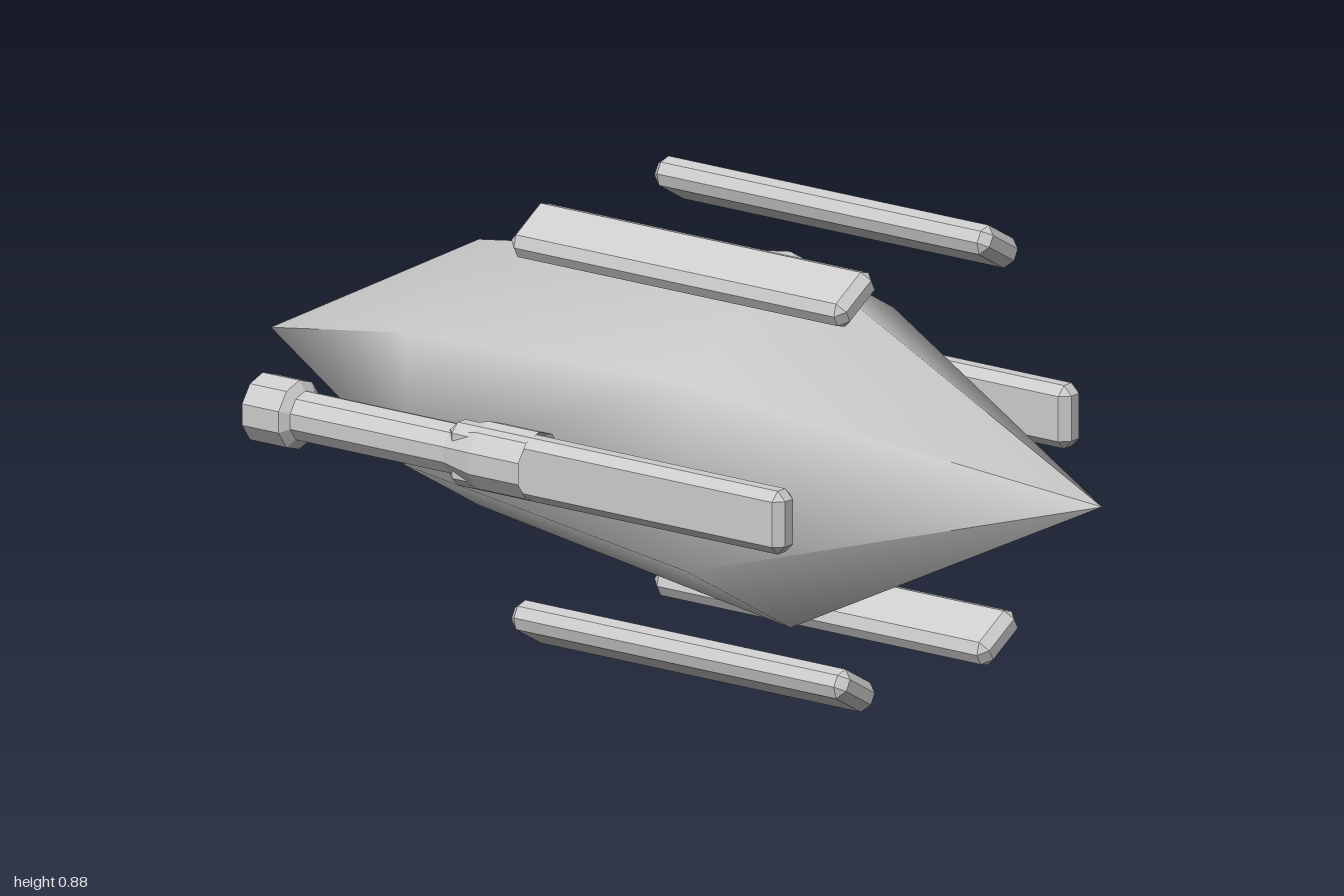
import * as THREE from 'three';
import { ConvexGeometry } from 'three/addons/geometries/ConvexGeometry.js';

const CENTRE_Y = 0.44;

// Revolve [radius, z] pairs around the z axis, listed from back to front
function latheZ(profile, sides) {
  const points = profile.map(([r, z]) => new THREE.Vector2(r, z));
  return new THREE.LatheGeometry(points, sides).rotateX(Math.PI / 2);
}

// Box with every edge chamfered, given half sizes
function chamferedBox(a, b, l, c) {
  const points = [];
  for (const x of [-1, 1]) for (const y of [-1, 1]) for (const z of [-1, 1]) {
    points.push(
      new THREE.Vector3(x * a, y * (b - c), z * (l - c)),
      new THREE.Vector3(x * (a - c), y * b, z * (l - c)),
      new THREE.Vector3(x * (a - c), y * (b - c), z * l)
    );
  }
  return new ConvexGeometry(points);
}

// Separate the faces so each one is shaded flat
function flat(geometry) {
  const g = geometry.index ? geometry.toNonIndexed() : geometry;
  g.computeVertexNormals();
  return g;
}

export function createModel() {
  const model = new THREE.Group();
  model.name = 'spacecraft';
  const grey = new THREE.MeshStandardMaterial({ color: 0xcccccc });
  grey.name = 'hull grey';

  // Smooth-shaded six-sided hull, pointed at both ends
  const hull = new THREE.Mesh(
    latheZ([[0, -1], [0.265, -0.5], [0.375, 0.25], [0, 1]], 6), grey);
  hull.name = 'hull';
  hull.position.y = CENTRE_Y;
  model.add(hull);

  // Six floating bars in a ring around the hull
  const barGeometry = flat(chamferedBox(0.03, 0.063, 0.403, 0.018));
  for (let i = 0; i < 6; i++) {
    const angle = i * Math.PI / 3;
    const bar = new THREE.Mesh(barGeometry, grey);
    bar.name = 'bar' + (i + 1);
    bar.position.set(0.45 * Math.cos(angle), CENTRE_Y + 0.45 * Math.sin(angle), 0.188);
    bar.rotation.z = angle;
    model.add(bar);
  }

  // Thruster pipe: recessed rear nozzle, cap, pipe, flared collar, hollow front
  const thrusterGeometry = flat(latheZ([
    [0, -0.68], [0.014, -0.668], [0.022, -0.668], [0.03, -0.692], [0.058, -0.692],
    [0.069, -0.685], [0.069, -0.597], [0.05, -0.583], [0.05, -0.215],
    [0.069, -0.14], [0.069, -0.02], [0.04, -0.075], [0, -0.08]
  ], 10));
  for (const side of [-1, 1]) {
    const thruster = new THREE.Mesh(thrusterGeometry, grey);
    thruster.name = side > 0 ? 'leftThruster' : 'rightThruster';
    thruster.position.set(side * 0.437, CENTRE_Y, 0);
    model.add(thruster);
  }
  return model;
}
